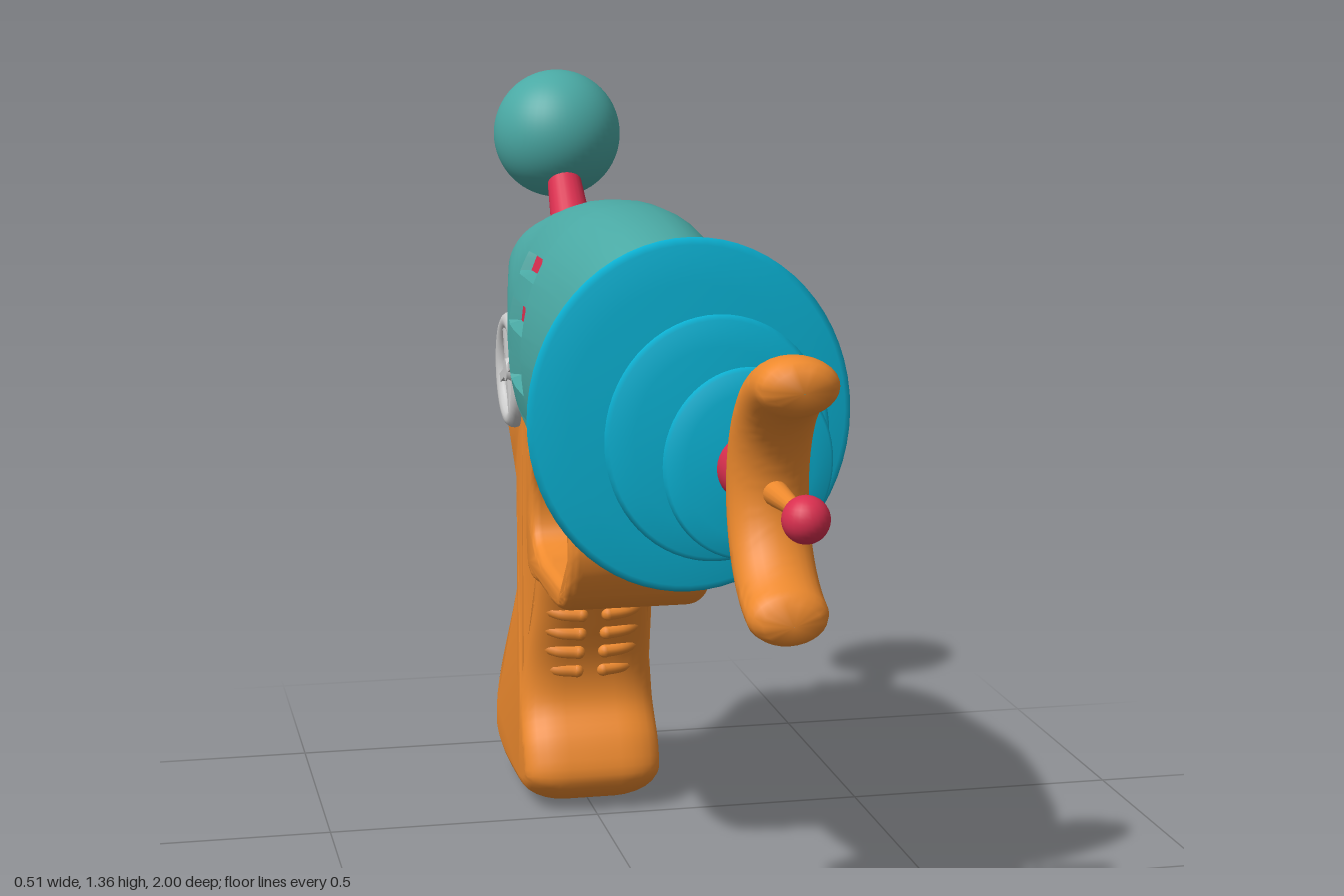
import * as THREE from 'three';
import { toCreasedNormals } from 'three/addons/utils/BufferGeometryUtils.js';

const paint = (color) => new THREE.MeshStandardMaterial({ color });

export function createModel() {
  const model = new THREE.Group();
  const teal = paint(0x4aa9a4), orange = paint(0xee8a2e), cyan = paint(0x0ab4d6);
  const red = paint(0xd92f4f), gold = paint(0xb8930f), grey = paint(0xcccccc);

  function add(name, geometry, material, x = 0, y = 0, z = 0, parent = model) {
    const mesh = new THREE.Mesh(geometry, material);
    mesh.name = name;
    mesh.position.set(x, y, z);
    parent.add(mesh);
    return mesh;
  }

  // Skins closed rings of points; quads chosen by pick(i, j) only
  function loft(rings, crease, pick = () => true) {
    const n = rings[0].length, index = [];
    for (let i = 0; i < rings.length - 1; i++) {
      for (let j = 0; j < n; j++) {
        if (!pick(i, j)) continue;
        const a = i * n + j, b = i * n + (j + 1) % n;
        index.push(a, a + n, b, b, a + n, b + n);
      }
    }
    const g = new THREE.BufferGeometry().setFromPoints(rings.flat());
    g.setIndex(index);
    return toCreasedNormals(g, crease);
  }

  // Smooth closed outline through [z, y] points
  function outline(points, count) {
    const curve = new THREE.CatmullRomCurve3(points.map(([z, y]) => new THREE.Vector3(z, y, 0)), true);
    return curve.getPoints(count).slice(0, -1).map((p) => new THREE.Vector2(p.x, p.y));
  }

  // Side profile extruded across x, with rounded edges inside the outline
  function slab(points, holes, halfWidth, inset, round, count = 90) {
    const shape = new THREE.Shape(outline(points, count));
    for (const h of holes) shape.holes.push(new THREE.Path(outline(h, 40)));
    const g = new THREE.ExtrudeGeometry(shape, {
      depth: 2 * (halfWidth - round), bevelThickness: round, bevelSize: inset,
      bevelOffset: -inset, bevelSegments: 6, curveSegments: 1,
    });
    g.translate(0, 0, round - halfWidth);
    return g.rotateY(-Math.PI / 2);
  }

  // Body: sections of z, half width, bottom, top
  const sections = [
    [0.25, 0.001, 0.89, 0.9], [0.25, 0.105, 0.745, 1.05], [0.245, 0.125, 0.725, 1.075],
    [0.225, 0.138, 0.71, 1.097], [0.15, 0.149, 0.69, 1.13], [0.07, 0.159, 0.677, 1.15],
    [0, 0.167, 0.67, 1.165], [-0.1, 0.18, 0.662, 1.176], [-0.185, 0.189, 0.66, 1.18],
    [-0.195, 0.189, 0.66, 1.18], [-0.28, 0.187, 0.66, 1.178], [-0.375, 0.179, 0.665, 1.168],
    [-0.385, 0.178, 0.667, 1.167], [-0.44, 0.17, 0.69, 1.158], [-0.49, 0.162, 0.75, 1.149],
    [-0.54, 0.153, 0.84, 1.138], [-0.59, 0.143, 0.915, 1.124], [-0.64, 0.129, 0.94, 1.11],
    [-0.7, 0.108, 0.945, 1.088], [-0.76, 0.083, 0.94, 1.055], [-0.8, 0.063, 0.945, 1.025],
    [-0.818, 0.045, 0.965, 1.0], [-0.82, 0.001, 0.98, 0.985],
  ];
  const slots = [[1.05, 1.09], [0.96, 1.01], [0.86, 0.92], [0.76, 0.81]];
  const lip = 0.006;
  const angleAt = (y) => Math.asin((y - 0.92) / 0.26);
  const half = [];
  for (let i = 0; i <= 24; i++) half.push(-Math.PI / 2 + (i * Math.PI) / 24);
  for (const [lo, hi] of slots) half.push(...[lo, lo + lip, hi - lip, hi].map(angleAt));
  half.sort((a, b) => a - b);
  const angles = [...half, ...half.slice(1, -1).reverse().map((t) => Math.PI - t)];
  const inSlot = (z, t) => {
    const y = 0.92 + 0.26 * Math.sin(t);
    return z < -0.19 && z > -0.38 && slots.some(([lo, hi]) => y > lo + lip - 1e-4 && y < hi - lip + 1e-4);
  };
  const bodyRings = sections.map(([z, w, lo, hi]) => angles.map((t) => {
    const c = Math.cos(t), x = w * Math.sign(c) * Math.abs(c) ** 0.88;
    const y = (lo + hi) / 2 + ((hi - lo) / 2) * Math.sin(t);
    return new THREE.Vector3(x * (inSlot(z, t) ? 0.88 : 1), y, z);
  }));
  const isVent = (i, j) => [i, i + 1].every((k) =>
    [j, (j + 1) % angles.length].every((m) => inSlot(sections[k][0], angles[m])));
  add('body', loft(bodyRings, 0.55, (i, j) => !isVent(i, j)), teal);
  add('sideVents', loft(bodyRings, 0.55, isVent), red);

  // Barrel and its lens-shaped rings
  add('barrel', new THREE.CylinderGeometry(0.05, 0.05, 0.53, 32).rotateX(Math.PI / 2), red, 0, 0.9, 0.48);
  for (const [z, rx, ry] of [[0.275, 0.257, 0.279], [0.46, 0.172, 0.187], [0.65, 0.125, 0.14]]) {
    const profile = [[0, -0.018], [0.35, -0.017], [0.75, -0.011], [0.96, -0.007], [1, 0],
      [0.96, 0.007], [0.75, 0.011], [0.35, 0.017], [0, 0.018]].map(([r, h]) => new THREE.Vector2(r, h));
    const ring = new THREE.LatheGeometry(profile, 64).rotateX(Math.PI / 2).scale(rx, ry, 1);
    add('barrelRing', ring, cyan, 0, 0.902, z);
  }

  // Muzzle fork: tapered arc with rounded tips
  const forkRings = [];
  for (let i = 0; i <= 48; i++) {
    const s = i / 48, theta = THREE.MathUtils.degToRad(76 + 194 * s);
    const edge = Math.min(1, Math.min(s, 1 - s) / 0.07);
    const cap = Math.max(0.01, Math.sqrt(1 - (1 - edge) ** 2));
    const middle = Math.sin(Math.PI * s);
    const r = 0.166 - 0.011 * middle, thick = (0.039 + 0.011 * middle) * cap;
    forkRings.push(Array.from({ length: 28 }, (_, j) => {
      const t = (j / 28) * 2 * Math.PI, d = r + thick * Math.sin(t);
      return new THREE.Vector3(0.058 * cap * Math.cos(t), 0.895 + d * Math.sin(theta), 0.915 + d * Math.cos(theta));
    }));
  }
  add('muzzleFork', loft(forkRings, 1), orange);
  add('needle', new THREE.CylinderGeometry(0.008, 0.02, 0.17, 16).rotateX(Math.PI / 2), orange, 0, 0.892, 0.87);
  add('needleTip', new THREE.SphereGeometry(0.033, 24, 16), red, 0, 0.89, 0.967);

  // Rear stalk and ball
  const stalk = add('rearStalk', new THREE.CylinderGeometry(0.028, 0.042, 0.24, 24), red, 0, 1.115, -0.765);
  stalk.rotation.x = -0.76;
  add('rearBall', new THREE.SphereGeometry(0.12, 48, 32), teal, 0, 1.24, -0.88);

  // Grip, waisted across its width
  const grip = slab([
    [-0.57, 0.955], [-0.64, 0.965], [-0.72, 0.952], [-0.8, 0.92], [-0.84, 0.86], [-0.81, 0.775],
    [-0.75, 0.68], [-0.73, 0.58], [-0.77, 0.43], [-0.855, 0.26], [-0.915, 0.13], [-0.92, 0.06],
    [-0.87, 0.018], [-0.7, 0.003], [-0.56, 0.018], [-0.508, 0.065], [-0.525, 0.135], [-0.565, 0.2],
    [-0.565, 0.27], [-0.52, 0.38], [-0.48, 0.47], [-0.463, 0.58], [-0.458, 0.68], [-0.475, 0.76],
    [-0.502, 0.82], [-0.52, 0.9],
  ], [], 0.12, 0.042, 0.075, 120);
  const gp = grip.attributes.position;
  for (let i = 0; i < gp.count; i++) {
    gp.setX(i, gp.getX(i) * (0.98 + 0.1 * Math.cos((2 * Math.PI * (gp.getY(i) - 0.12)) / 0.68)));
  }
  add('grip', toCreasedNormals(grip, 0.8), orange);

  // Trigger guard
  add('triggerGuard', toCreasedNormals(slab([
    [-0.48, 0.468], [-0.4, 0.473], [-0.2, 0.478], [-0.115, 0.525], [-0.075, 0.61], [-0.09, 0.68],
    [-0.14, 0.715], [-0.3, 0.722], [-0.43, 0.725], [-0.51, 0.715], [-0.53, 0.6], [-0.52, 0.49],
  ], [[
    [-0.17, 0.535], [-0.28, 0.53], [-0.4, 0.535], [-0.45, 0.56], [-0.458, 0.62], [-0.435, 0.667],
    [-0.3, 0.678], [-0.18, 0.688], [-0.13, 0.655], [-0.115, 0.605], [-0.128, 0.56],
  ]], 0.127, 0.018, 0.025), 0.8), orange);

  // Trigger with two openings
  add('trigger', toCreasedNormals(slab([
    [-0.285, 0.685], [-0.29, 0.66], [-0.305, 0.61], [-0.28, 0.555], [-0.3, 0.542], [-0.4, 0.54],
    [-0.47, 0.55], [-0.475, 0.62], [-0.46, 0.685], [-0.38, 0.69],
  ], [
    [[-0.315, 0.66], [-0.325, 0.625], [-0.365, 0.625], [-0.365, 0.655]],
    [[-0.325, 0.6], [-0.312, 0.565], [-0.36, 0.56], [-0.365, 0.6]],
  ], 0.04, 0.005, 0.008, 60), 0.7), gold);

  for (const side of [1, -1]) {
    // Finger ridges wrapping round the front of the grip
    for (let k = 0; k < 4; k++) {
      const y = 0.265 + k * 0.04, z = -0.565 + k * 0.017;
      const path = new THREE.CatmullRomCurve3([[0.025, y, z - 0.003], [0.065, y + 0.004, z - 0.012],
        [0.098, y + 0.018, z - 0.05], [0.102, y + 0.035, z - 0.11]]
        .map(([px, py, pz]) => new THREE.Vector3(side * px, py, pz)));
      add('fingerRidge', new THREE.TubeGeometry(path, 16, 0.013, 10), orange);
      for (const t of [0, 1]) {
        const end = path.getPoint(t);
        add('fingerRidgeEnd', new THREE.SphereGeometry(0.013, 10, 8), orange, end.x, end.y, end.z);
      }
    }

    // Dial: dish, rim, hub and four spokes
    const dial = new THREE.Group();
    dial.name = 'dial';
    dial.position.set(side * 0.128, 0.83, -0.63);
    dial.rotation.y = (side * Math.PI) / 2;
    model.add(dial);
    add('dialDish', new THREE.CylinderGeometry(0.094, 0.094, 0.012, 40).rotateX(Math.PI / 2), grey, 0, 0, 0, dial);
    add('dialRim', new THREE.TorusGeometry(0.09, 0.017, 14, 48), grey, 0, 0, 0.003, dial);
    add('dialHub', new THREE.CylinderGeometry(0.02, 0.026, 0.014, 24).rotateX(Math.PI / 2), grey, 0, 0, 0.01, dial);
    for (let k = 0; k < 4; k++) {
      const spoke = add('dialSpoke', new THREE.BoxGeometry(0.08, 0.016, 0.012).translate(0.045, 0, 0), grey, 0, 0, 0.009, dial);
      spoke.rotation.z = 0.35 + (k * Math.PI) / 2;
    }
  }
  return model;
}
